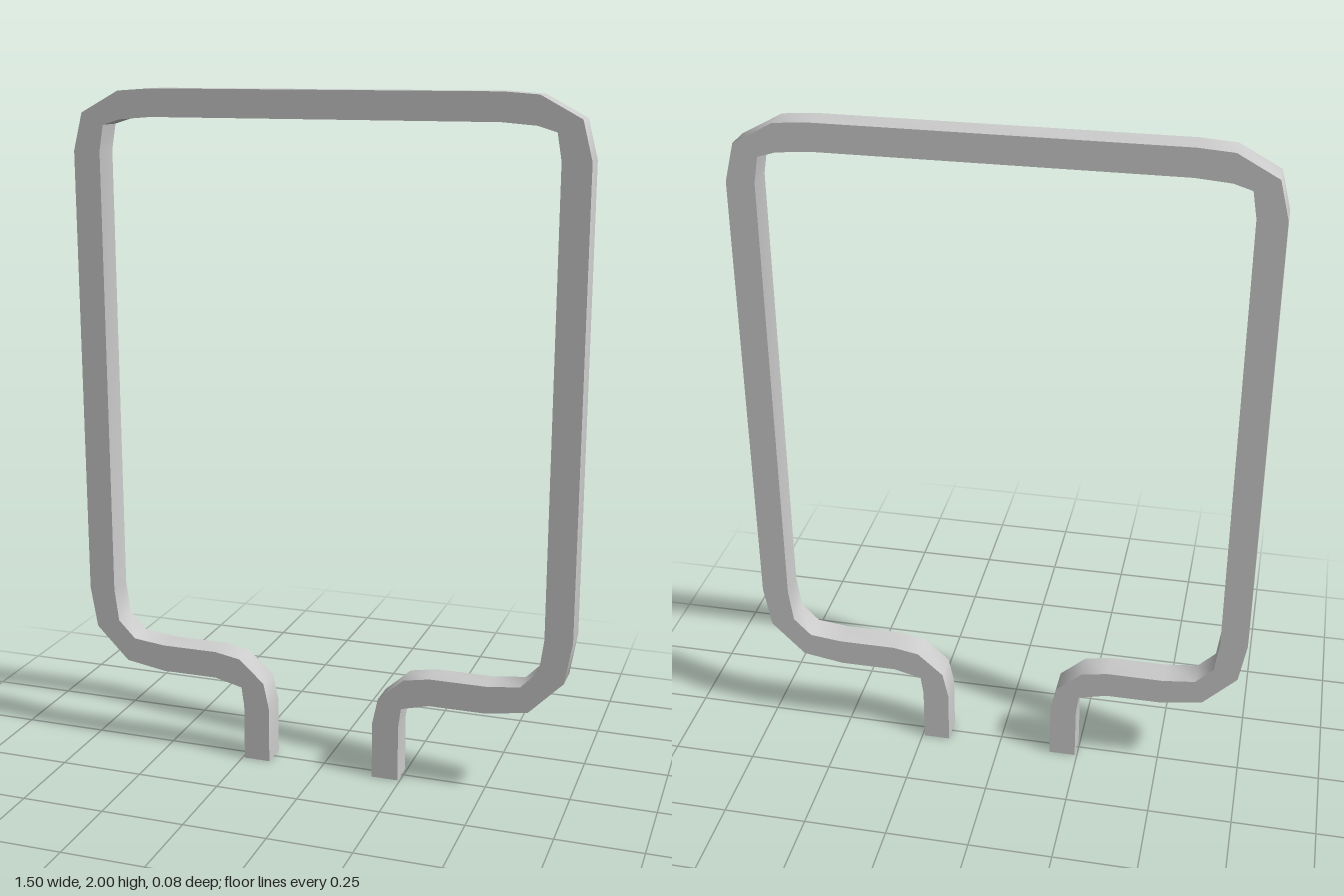
import * as THREE from 'three';
import { toCreasedNormals } from 'three/addons/utils/BufferGeometryUtils.js';

const DEPTH = 0.083;

// Right half of the bent square bar: outer edge from foot to top, inner edge from top to foot
const outer = [
  [0.243, 0], [0.243, 0.17], [0.251, 0.229], [0.335, 0.25], [0.505, 0.25], [0.627, 0.27],
  [0.727, 0.371], [0.748, 0.495], [0.748, 1.823], [0.72, 1.931], [0.605, 1.993], [0.505, 2],
];
const inner = [
  [0.505, 1.921], [0.602, 1.913], [0.654, 1.897], [0.667, 1.823], [0.667, 0.495], [0.654, 0.397],
  [0.602, 0.344], [0.505, 0.333], [0.335, 0.333], [0.257, 0.319], [0.18, 0.25], [0.163, 0.17], [0.163, 0],
];
const mirror = (pts) => pts.map(([x, y]) => [-x, y]).reverse();

export function createModel() {
  const group = new THREE.Group();
  group.name = 'openFrame';

  // One continuous outline, mirrored about x = 0
  const outline = [...outer, ...mirror(outer), ...mirror(inner), ...inner];
  const shape = new THREE.Shape(outline.map(([x, y]) => new THREE.Vector2(x, y)));
  const geometry = new THREE.ExtrudeGeometry(shape, { depth: DEPTH, bevelEnabled: false });
  geometry.translate(0, 0, -DEPTH / 2);

  // Smooth around the bends, sharp along the bar's edges
  const bar = new THREE.Mesh(
    toCreasedNormals(geometry, 0.9),
    new THREE.MeshStandardMaterial({ color: 0xcccccc })
  );
  bar.name = 'bentBar';
  group.add(bar);
  return group;
}
